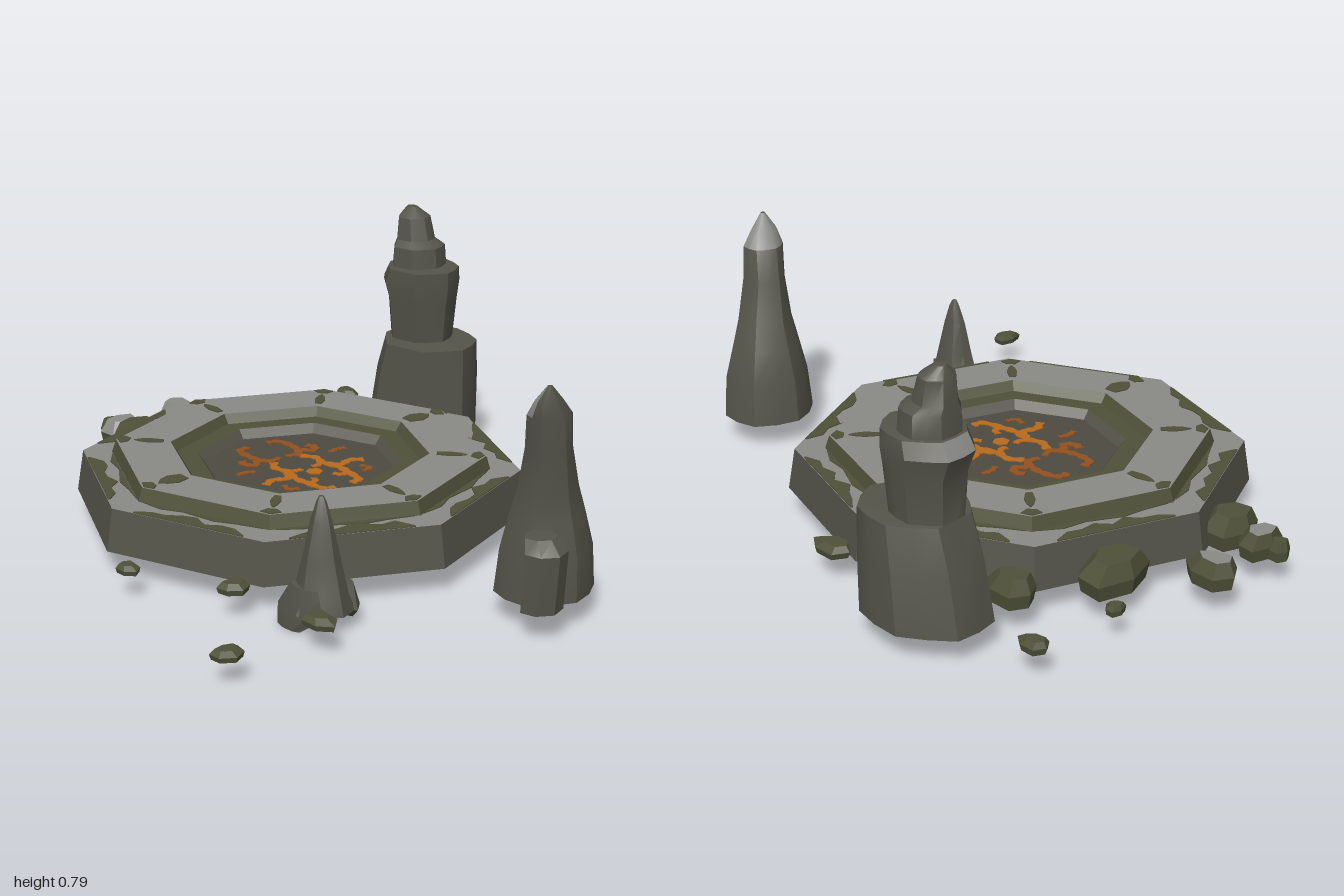
import * as THREE from 'three';
import { toCreasedNormals, mergeGeometries } from 'three/addons/utils/BufferGeometryUtils.js';

const mat = (name, color) => {
  const m = new THREE.MeshStandardMaterial({ color, side: THREE.DoubleSide });
  m.name = name;
  return m;
};
const CX = -0.125, CZ = 0.02, FLOOR = 0.185;

function seeded(seed) {
  let s = seed * 7919 + 17;
  return () => ((s = (s * 16807) % 2147483647) / 2147483647);
}

// Rock from stacked rings [y, xMin, xMax, zMin, zMax]; paint(ring, angle) picks the second material
function rock(rings, { sides = 10, rough = 0.08, seed = 1, crease = 0.6, paint = () => false } = {}) {
  const rnd = seeded(seed);
  const bump = Array.from({ length: sides }, (_, i) => 1 - rough * (i % 2) - rough * 0.6 * rnd());
  const pos = [], idx = [[], []];
  rings.forEach(([y, x0, x1, z0, z1]) => {
    for (let i = 0; i < sides; i++) {
      const a = (i / sides) * Math.PI * 2;
      pos.push((x0 + x1) / 2 + Math.cos(a) * bump[i] * (x1 - x0) / 2, y,
        (z0 + z1) / 2 + Math.sin(a) * bump[i] * (z1 - z0) / 2);
    }
  });
  for (let r = 0; r < rings.length - 1; r++) for (let i = 0; i < sides; i++) {
    const j = (i + 1) % sides, b = r * sides, t = b + sides;
    idx[paint(r, ((i + 0.5) / sides) * Math.PI * 2) ? 1 : 0].push(b + i, t + i, b + j, b + j, t + i, t + j);
  }
  // end caps
  [0, rings.length - 1].forEach((r) => {
    const [y, x0, x1, z0, z1] = rings[r], c = pos.length / 3, b = r * sides;
    pos.push((x0 + x1) / 2, y, (z0 + z1) / 2);
    const target = idx[r > 0 && paint(r, 0) ? 1 : 0];
    for (let i = 0; i < sides; i++) {
      const j = (i + 1) % sides;
      if (r > 0) target.push(c, b + j, b + i);
      else target.push(c, b + i, b + j);
    }
  });
  const g = new THREE.BufferGeometry();
  g.setAttribute('position', new THREE.Float32BufferAttribute(pos, 3));
  g.setIndex([...idx[0], ...idx[1]]);
  g.addGroup(0, idx[0].length, 0);
  g.addGroup(idx[0].length, idx[1].length, 1);
  return toCreasedNormals(g, crease);
}

// Thin horizontal plate straddling height y, from [x, z] points
function plate(points, y, depth = 0.006) {
  const shape = new THREE.Shape(points.map(([x, z]) => new THREE.Vector2(x, -z)));
  return new THREE.ExtrudeGeometry(shape, { depth, bevelEnabled: false })
    .rotateX(-Math.PI / 2).translate(0, y - depth / 2, 0);
}

// Thin painted stroke following a smooth path
function stroke(path, width, y) {
  const curve = new THREE.CatmullRomCurve3(path.map(([x, z]) => new THREE.Vector3(x, 0, z)));
  const left = [], right = [], n = path.length * 4;
  for (let i = 0; i <= n; i++) {
    const p = curve.getPoint(i / n), t = curve.getTangent(i / n);
    const w = (width / 2) * (1 + 0.25 * Math.sin(i * 1.7));
    left.push([p.x - t.z * w, p.z + t.x * w]);
    right.unshift([p.x + t.z * w, p.z - t.x * w]);
  }
  return plate([...left, ...right], y);
}

export function createModel() {
  const group = new THREE.Group();
  group.name = 'ritualPlatform';
  const rockMat = mat('rock', 0x55544a), pale = mat('paleStone', 0x898986), moss = mat('moss', 0x4f5139);
  const floorMat = mat('floorStone', 0x4d4b40), ember = mat('emberOrange', 0xb8691d), rust = mat('rustOrange', 0x91501f);
  const add = (name, geometry, material, parent = group) => {
    const m = new THREE.Mesh(geometry, material);
    m.name = name;
    parent.add(m);
    return m;
  };

  // Octagonal platform: an open shell of flat bands
  const platform = new THREE.Group();
  platform.name = 'platform';
  platform.position.set(CX, 0, CZ);
  group.add(platform);
  [
    ['outerWall', 0.677, 0.075, 0.657, 0.2, rockMat],
    ['outerLedge', 0.657, 0.2, 0.568, 0.2, pale],
    ['stepWall', 0.568, 0.2, 0.555, 0.24, moss],
    ['topRing', 0.555, 0.24, 0.388, 0.24, pale],
    ['innerStepWall', 0.388, 0.24, 0.368, 0.212, moss],
    ['innerLedge', 0.368, 0.212, 0.308, 0.212, moss],
    ['floorWall', 0.308, 0.212, 0.287, FLOOR, rockMat],
    ['floor', 0.287, FLOOR, 0, FLOOR, floorMat],
  ].forEach(([name, r0, y0, r1, y1, m]) => {
    const g = new THREE.LatheGeometry([new THREE.Vector2(r0, y0), new THREE.Vector2(r1, y1)], 8).toNonIndexed();
    g.computeVertexNormals();
    add(name, g, m, platform);
  });

  // Moss patches: ledge strips on each side, drops on each corner
  const patches = [];
  const apothem = Math.cos(Math.PI / 8);
  for (let k = 0; k < 8; k++) {
    const rnd = seeded(k + 3), out = 0.655 * apothem, inn = 0.57 * apothem;
    const outer = [], inner = [];
    for (let i = 0; i <= 8; i++) {
      const u = -0.18 + i * 0.045, w = i % 8 === 0 ? 0.006 : 0.02 + 0.035 * rnd();
      outer.push([u, out]);
      inner.unshift([u, out - w]);
    }
    const side = (k + 0.5) * Math.PI / 4, corner = k * Math.PI / 4;
    patches.push(plate([...outer, ...inner], 0.2).rotateY(side));
    patches.push(plate([[-0.2, inn], [-0.13, inn + 0.018], [-0.06, inn + 0.006], [0.05, inn + 0.022], [0.12, inn + 0.008], [0.2, inn]], 0.2).rotateY(side));
    const s = k % 4 === 0 ? 1 : 0.5;
    patches.push(plate([[0, 0.5], [-0.02 * s, 0.48], [-0.032 * s, 0.45], [-0.02 * s, 0.41], [0.02 * s, 0.41], [0.032 * s, 0.45], [0.02 * s, 0.48]], 0.24).rotateY(corner));
    patches.push(plate([[-0.03, 0.535], [-0.012, 0.512], [0.015, 0.515], [0.03, 0.535], [0, 0.55]], 0.24).rotateY(corner));
  }
  add('mossPatches', mergeGeometries(patches), moss, platform);

  // Glowing floor pattern, mirrored front to back
  const glow = [], faded = [];
  for (const s of [1, -1]) {
    const line = (list, width, ...pts) => list.push(stroke(pts.map(([x, z]) => [x, z * s]), width, FLOOR));
    line(faded, 0.024, [-0.215, -0.035], [-0.205, -0.07], [-0.15, -0.08], [-0.1, -0.07], [-0.06, -0.045]);
    line(faded, 0.024, [-0.1, -0.08], [-0.075, -0.11], [-0.1, -0.13], [-0.125, -0.12]);
    line(faded, 0.018, [-0.09, -0.065], [-0.075, -0.035], [-0.085, -0.012]);
    line(glow, 0.024, [-0.06, -0.05], [-0.02, -0.075], [0.03, -0.065], [0.09, -0.08], [0.15, -0.075], [0.21, -0.06], [0.215, -0.03]);
    line(glow, 0.024, [0.04, -0.07], [0.075, -0.1], [0.06, -0.14], [0.08, -0.18]);
    line(faded, 0.018, [-0.03, -0.14], [-0.04, -0.17], [-0.035, -0.2]);
    line(faded, 0.016, [0.115, -0.14], [0.15, -0.15], [0.16, -0.12]);
    line(glow, 0.018, [0.13, -0.08], [0.145, -0.05], [0.12, -0.035]);
    line(glow, 0.018, [0.02, -0.065], [0.04, -0.035], [0.035, -0.02]);
  }
  glow.push(plate([0, 1, 2, 3, 4, 5].map((i) => [0.075 + 0.026 * Math.cos(i * Math.PI / 3), 0.026 * Math.sin(i * Math.PI / 3)]), FLOOR));
  add('glowPattern', mergeGeometries(glow), ember, platform);
  add('fadedPattern', mergeGeometries(faded), rust, platform);

  // Tall stepped spire at the back
  add('tallSpire', rock([
    [0.075, -0.66, -0.25, -0.89, -0.55], [0.25, -0.625, -0.25, -0.885, -0.56], [0.37, -0.58, -0.25, -0.87, -0.57],
    [0.372, -0.575, -0.355, -0.825, -0.625], [0.5, -0.58, -0.34, -0.835, -0.61], [0.56, -0.605, -0.33, -0.845, -0.6],
    [0.605, -0.575, -0.33, -0.835, -0.605], [0.607, -0.565, -0.39, -0.815, -0.63], [0.67, -0.56, -0.395, -0.81, -0.635],
    [0.69, -0.555, -0.43, -0.785, -0.655], [0.76, -0.55, -0.45, -0.775, -0.665], [0.79, -0.53, -0.49, -0.735, -0.705],
  ], { sides: 14, seed: 2, rough: 0.06, paint: (r, a) => r === 5 && Math.abs(a - Math.PI) < 0.5 }), [rockMat, pale]);

  // Leaning spire on the left side, with a low shoulder and a pale tip
  add('leaningSpire', rock([
    [0.075, 0.68, 0.95, -0.255, 0.04], [0.2, 0.695, 0.95, -0.24, 0.03], [0.3, 0.72, 0.925, -0.215, 0.005],
    [0.38, 0.755, 0.92, -0.18, -0.005], [0.5, 0.785, 0.925, -0.14, -0.01], [0.6, 0.81, 0.93, -0.125, 0.005],
    [0.645, 0.85, 0.92, -0.085, 0], [0.69, 0.892, 0.905, -0.04, -0.025],
  ], { sides: 12, seed: 5, rough: 0.06, paint: (r, a) => r >= 5 && a > 1.6 && a < 5 }), [rockMat, pale]);
  add('spireShoulder', rock([
    [0.08, 0.87, 0.985, -0.06, 0.07], [0.25, 0.88, 1.0, -0.06, 0.07], [0.285, 0.87, 0.96, -0.05, 0.05],
  ], { sides: 7, seed: 8 }), rockMat);

  // Small spire at the front with splayed feet
  add('smallSpire', rock([
    [0.05, 0.395, 0.605, 0.315, 0.515], [0.1, 0.415, 0.595, 0.345, 0.49], [0.2, 0.45, 0.57, 0.365, 0.475],
    [0.3, 0.473, 0.548, 0.39, 0.45], [0.355, 0.495, 0.53, 0.405, 0.435], [0.372, 0.505, 0.52, 0.413, 0.427],
  ], { sides: 9, seed: 4 }), rockMat);
  for (const [z0, z1, low] of [[0.31, 0.4, 0.32], [0.43, 0.515, 0.5]]) {
    add('spireFoot', rock([
      [0, 0.42, 0.52, low - 0.015, low + 0.015], [0.05, 0.39, 0.59, z0, z1], [0.12, 0.44, 0.57, z0 + 0.025, z1 - 0.025],
    ], { sides: 7, seed: 6 }), rockMat);
  }

  // Slabs on the right side and loose stones: [x, z, half width, half depth, height, pale top]
  [
    [-0.79, 0.15, 0.09, 0.1, 0.09], [-0.9, 0.14, 0.065, 0.085, 0.07, true], [-0.96, 0.15, 0.04, 0.035, 0.055],
    [-0.72, -0.28, 0.1, 0.135, 0.09], [-0.91, -0.085, 0.095, 0.065, 0.075, true], [-0.58, -0.53, 0.09, 0.065, 0.08],
    [-0.8, -0.685, 0.055, 0.04, 0.03], [-0.83, -0.395, 0.03, 0.035, 0.025], [-0.03, -0.65, 0.08, 0.055, 0.03],
    [0.64, 0.52, 0.065, 0.05, 0.025], [0.32, 0.57, 0.042, 0.055, 0.025], [0.03, 0.725, 0.042, 0.038, 0.02],
    [0.66, 0.83, 0.042, 0.055, 0.022],
  ].forEach(([x, z, w, d, h, paleTop], i) => {
    const g = rock([
      [0.07, -w * 0.9, w * 0.9, -d * 0.9, d * 0.9], [0.075 + h * 0.45, -w, w, -d, d],
      [0.075 + h, -w * 0.75, w * 0.5, -d * 0.6, d * 0.65],
    ], { sides: 6, seed: i + 11, rough: 0.14, crease: 0.3, paint: (r, a) => paleTop && (r === 2 || (r === 1 && a < 2)) });
    add(h > 0.04 ? 'slab' : 'looseStone', g, [moss, pale]).position.set(x, 0, z);
  });
  return group;
}
